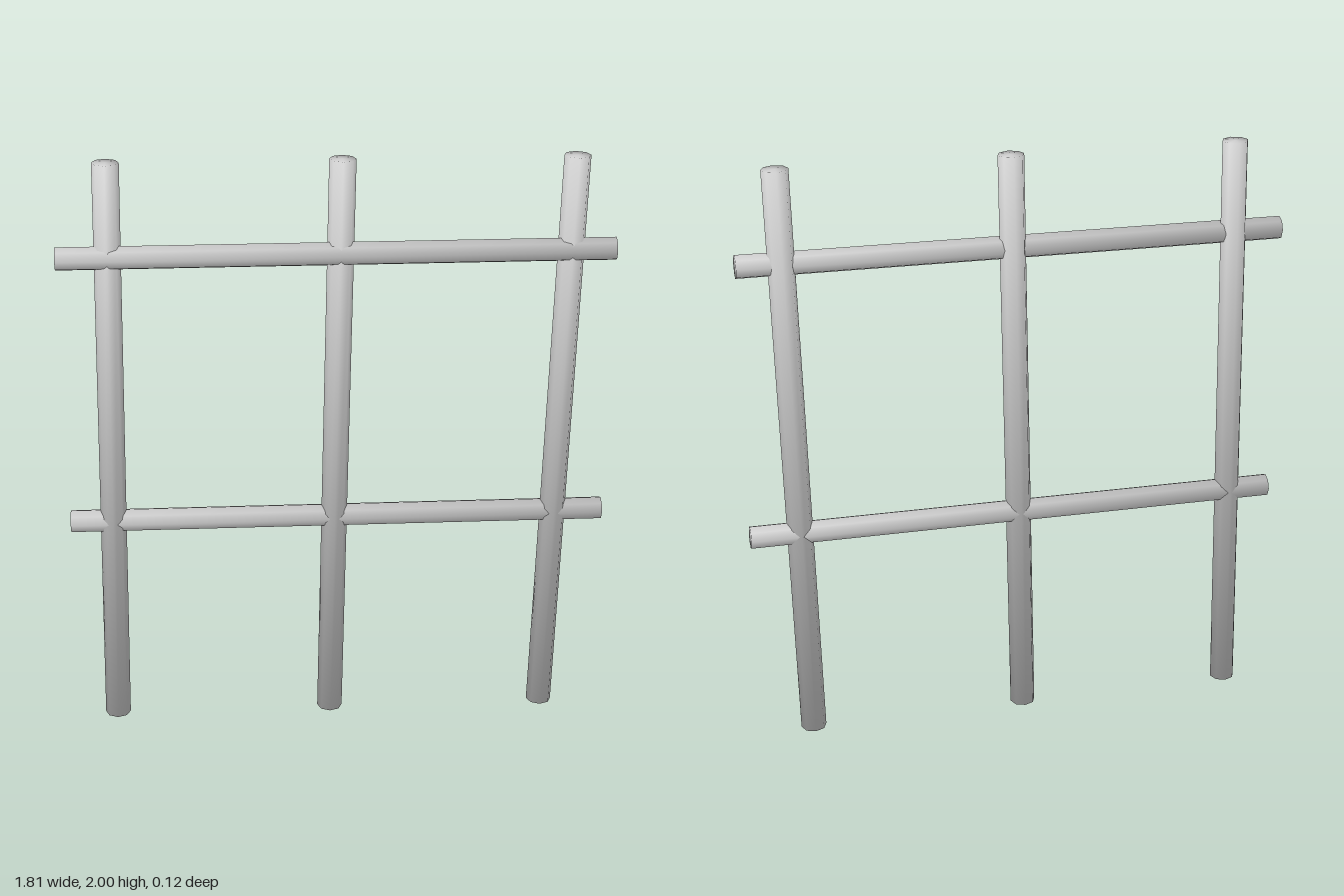
import * as THREE from 'three';

const SIDES = 8;

// Round bar between two points, with normals that roll softly over the ends
function makeBar(name, from, to, radius, material) {
  const length = from.distanceTo(to);
  const geometry = new THREE.CylinderGeometry(radius, radius, length, SIDES);
  const pos = geometry.attributes.position;
  const normal = geometry.attributes.normal;
  const n = new THREE.Vector3();
  for (let i = 0; i < pos.count; i++) {
    n.set(pos.getX(i) / radius, 0.7 * Math.sign(pos.getY(i)), pos.getZ(i) / radius).normalize();
    normal.setXYZ(i, n.x, n.y, n.z);
  }
  const bar = new THREE.Mesh(geometry, material);
  bar.name = name;
  bar.position.copy(from).add(to).multiplyScalar(0.5);
  bar.quaternion.setFromUnitVectors(new THREE.Vector3(0, 1, 0), to.clone().sub(from).normalize());
  return bar;
}

export function createModel() {
  const group = new THREE.Group();
  group.name = 'fence';
  const lightGrey = new THREE.MeshStandardMaterial({ color: 0xcccccc });
  lightGrey.name = 'lightGrey';

  // Three upright posts, leaning slightly to the left and back
  ['rightPost', 'middlePost', 'leftPost'].forEach((name, i) => {
    const x = -0.006 + (i - 1) * 0.749;
    group.add(makeBar(
      name,
      new THREE.Vector3(x - 0.024, 0.001, 0.015),
      new THREE.Vector3(x + 0.024, 1.999, -0.015),
      0.0435, lightGrey
    ));
  });

  // Two level rails running through the posts
  for (const [name, y] of [['lowerRail', 0.751], ['upperRail', 1.689]]) {
    group.add(makeBar(
      name,
      new THREE.Vector3(-0.904, y, 0.002),
      new THREE.Vector3(0.904, y, 0.002),
      0.039, lightGrey
    ));
  }
  return group;
}
